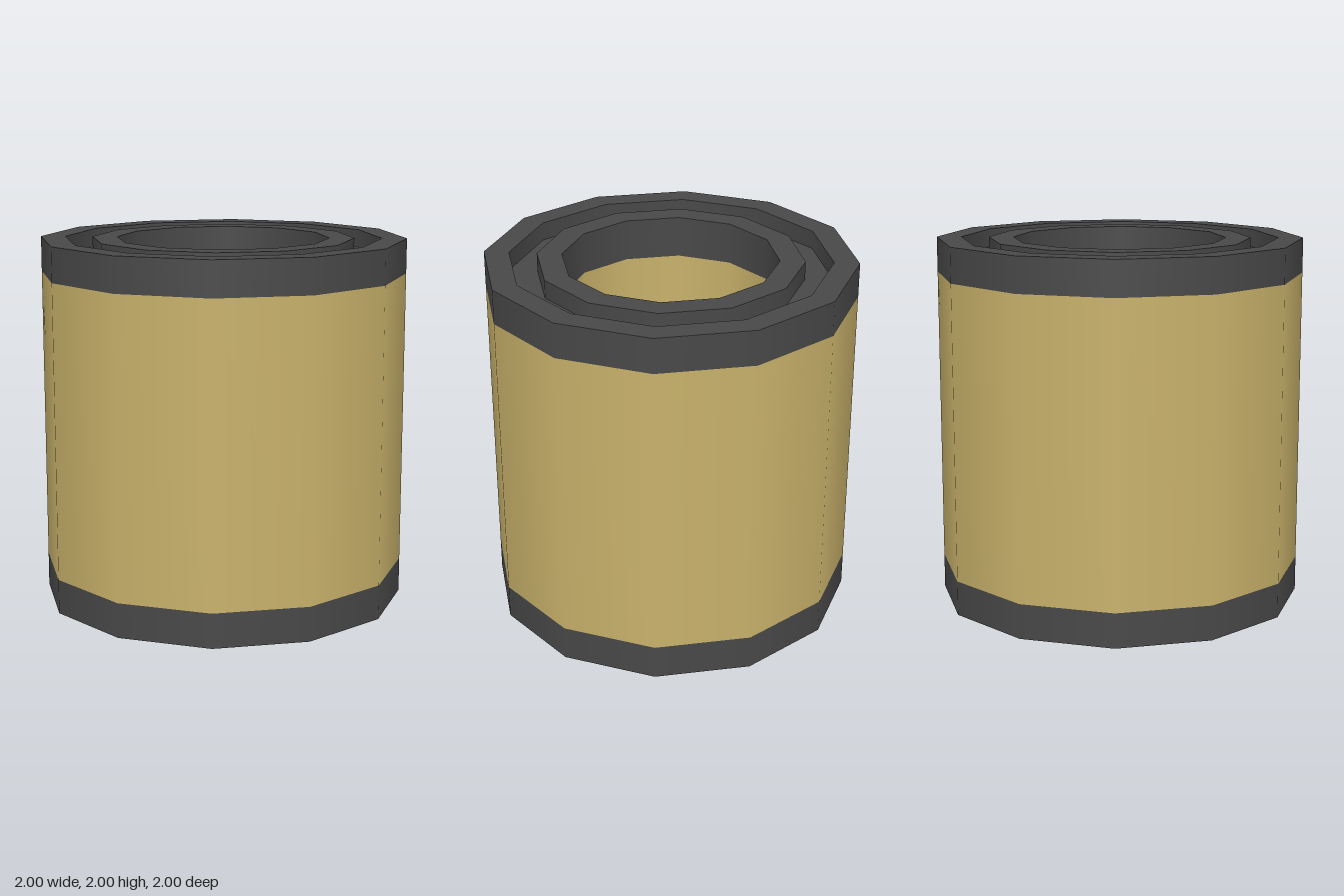
import * as THREE from 'three';
import { mergeGeometries } from 'three/addons/utils/BufferGeometryUtils.js';

const SIDES = 12;

// Revolve each profile segment on its own: smooth around, sharp between segments.
function ring(name, material, profile) {
  const parts = [];
  for (let i = 0; i < profile.length - 1; i++) {
    const pts = [profile[i], profile[i + 1]].map(([r, y]) => new THREE.Vector2(r, y));
    parts.push(new THREE.LatheGeometry(pts, SIDES));
  }
  const mesh = new THREE.Mesh(mergeGeometries(parts), material);
  mesh.name = name;
  return mesh;
}

export function createModel() {
  const brass = new THREE.MeshStandardMaterial({ color: 0xc8b16a });
  brass.name = 'brass';
  const darkMetal = new THREE.MeshStandardMaterial({ color: 0x484848 });
  darkMetal.name = 'dark metal';

  const outer = 1, grooveOuter = 0.865, grooveInner = 0.715, bore = 0.58;
  const bandOuter = 0.19, bandInner = 0.23, depth = 0.1;

  // End cap profile with a ring-shaped groove, running from outside to bore
  const topProfile = [
    [outer, 2 - bandOuter], [outer, 2], [grooveOuter, 2], [grooveOuter, 2 - depth],
    [grooveInner, 2 - depth], [grooveInner, 2], [bore, 2], [bore, 2 - bandInner],
  ];
  // Mirrored and reversed so the faces still point outwards
  const bottomProfile = topProfile.map(([r, y]) => [r, 2 - y]).reverse();

  const model = new THREE.Group();
  model.name = 'hollowCylinder';
  model.add(
    ring('topCap', darkMetal, topProfile),
    ring('bottomCap', darkMetal, bottomProfile),
    ring('outerSleeve', brass, [[outer, bandOuter], [outer, 2 - bandOuter]]),
    ring('boreLining', brass, [[bore, 2 - bandInner], [bore, bandInner]]),
  );
  return model;
}
